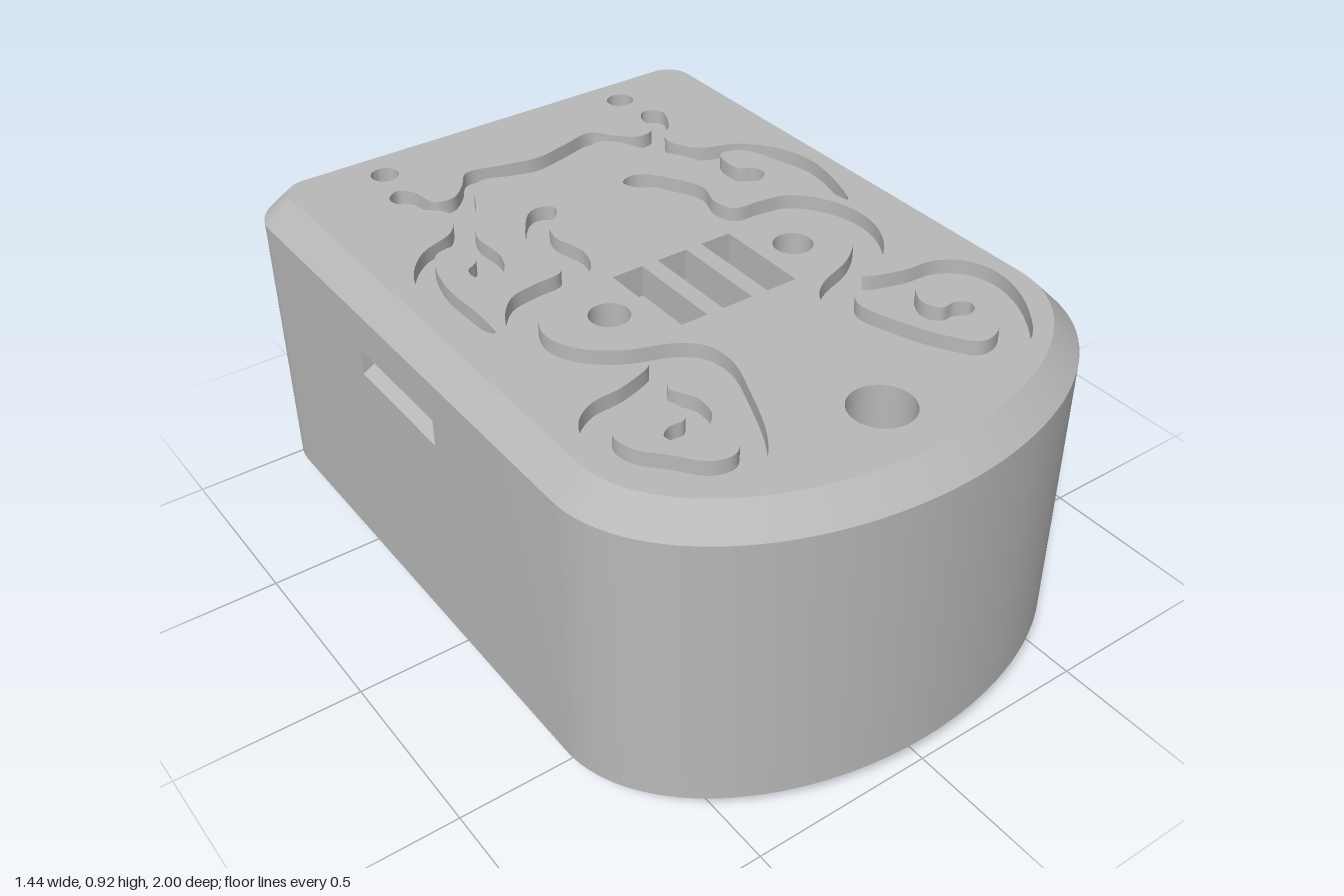
import * as THREE from 'three';
import { toCreasedNormals } from 'three/addons/utils/BufferGeometryUtils.js';

const H = 0.915, CH = 0.07, TOP = 0.845, LOW = 0.075;   // height, chamfer inset, chamfer levels
const WALL = 0.09, FLOOR = 0.15, CEIL = 0.83, GROOVE = 0.875;
const WIN = 0.34, WIN_Y = 0.54;                          // back window half width and sill
const SLOT = [-0.365, 0, 0.66, 0.735];                   // side slot z0, z1, y0, y1
const CHAN = 0.17, CHAN_END = 0.425, CHAN_Y = 0.05;      // underside channel

const shell = new THREE.MeshStandardMaterial({ color: 0xb8b8b8, side: THREE.DoubleSide });
shell.name = 'warm grey shell';

// Groove outlines for the +x half, in hundredths of a unit (x, z)
const FACE = [[11, -41], [13, -37], [17, -34], [19, -28], [17, -18], [20, -10], [27, -6], [37, -5], [43, 2],
  [45, 9], [42, 17], [34, 24], [22, 29], [17, 34], [16, 42], [20, 54], [27, 69], [33, 76], [40, 78], [47, 75],
  [54, 67], [59, 57], [60, 48], [57, 41], [51, 37], [42, 36], [32, 32], [42, 28], [49, 20], [52, 10], [50, -1],
  [43, -10], [35, -12], [27, -13], [25, -19], [27, -27], [23, -36], [17, -43], [13, -43]];
const CHEEK = [[54, 50], [51, 46], [44, 44], [40, 43], [36, 49], [38, 54], [42, 54], [45, 56], [44, 59], [38, 60],
  [32, 56], [31, 49], [34, 42], [26, 37], [23, 41], [26, 53], [31, 64], [36, 70], [42, 69], [48, 62], [53, 56]];
const BROW = [[0, -67], [10, -69], [20, -71], [25, -65], [30, -61], [35, -62], [37, -70], [40, -73], [44, -70],
  [41, -62], [35, -55], [39, -46], [50, -41], [57, -33], [60, -22], [58, -9], [54, 1], [53, -6], [53, -25],
  [48, -38], [42, -39], [41, -30], [45, -27], [45, -23], [39, -21], [35, -28], [35, -40], [27, -54], [23, -62],
  [19, -65], [10, -62], [0, -60]];

const V = (x, z) => new THREE.Vector2(x, z);
const mirror = pts => pts.map(p => V(-p.x, p.y));
const smooth = pairs => new THREE.CatmullRomCurve3(
  pairs.map(([x, z]) => new THREE.Vector3(x / 100, z / 100, 0)), true)
  .getPoints(pairs.length * 5).slice(0, -1).map(p => V(p.x, p.y));

function arc(cx, cz, rx, rz, a0, a1, n) {
  return Array.from({ length: n + 1 }, (_, i) => {
    const a = (a0 + (a1 - a0) * i / n) * Math.PI / 180;
    return V(cx + rx * Math.cos(a), cz + rz * Math.sin(a));
  });
}
const backCorner = d => arc(0.58, -0.86, 0.14 - d, 0.14 - d, -90, 0, 10);
const frontCurve = d => arc(0, 0.53, 0.72 - d, 0.47 - d, 0, 90, 28);

// Plan outline inset by d, split at x = +-x0 on the back edge
function outline(d, x0 = 0) {
  const half = [V(x0, -1 + d), ...backCorner(d), ...frontCurve(d)];
  const other = mirror(half).reverse().slice(1);
  return [...half, ...(x0 ? other : other.slice(0, -1))];
}

// Horizontal slab between two heights, with holes
function slab(pts, y0, y1, holes = []) {
  const shape = new THREE.Shape(pts);
  shape.holes = holes.map(h => new THREE.Path(h));
  const g = new THREE.ExtrudeGeometry(shape, { depth: y1 - y0, bevelEnabled: false });
  g.rotateX(Math.PI / 2).translate(0, y1, 0);
  return toCreasedNormals(g, 0.5);
}

// Sloping strip between two outlines with matching points
function loft(lower, y0, upper, y1, closed = false) {
  const n = lower.length, pos = [], index = [];
  for (let i = 0; i < n; i++) pos.push(lower[i].x, y0, lower[i].y, upper[i].x, y1, upper[i].y);
  for (let i = 0; i < (closed ? n : n - 1); i++) {
    const a = 2 * i, b = 2 * ((i + 1) % n);
    index.push(a, a + 1, b, b, a + 1, b + 1);
  }
  const g = new THREE.BufferGeometry();
  g.setAttribute('position', new THREE.Float32BufferAttribute(pos, 3));
  g.setIndex(index);
  return toCreasedNormals(g, 0.5);
}

const rect = (x0, x1, z0, z1) => [V(x0, z0), V(x1, z0), V(x1, z1), V(x0, z1)];
const disc = (x, z, r) => arc(x, z, r, r, 0, 360, 32).slice(0, -1);

export function createModel() {
  const group = new THREE.Group();
  const add = (name, geometry) => {
    const m = new THREE.Mesh(geometry, shell);
    m.name = name;
    group.add(m);
    return m;
  };

  // Openings through the lid
  const through = disc(0, 0.755, 0.082);
  const openings = [through];
  for (const x of [-0.135, 0, 0.135]) openings.push(rect(x - 0.044, x + 0.044, -0.035, 0.235));
  for (const s of [-1, 1]) openings.push(disc(s * 0.28, 0.1, 0.052), disc(s * 0.385, -0.83, 0.038));

  // Lid: engraved layer over a groove floor, with raised cheek islands
  const face = smooth(FACE), cheek = smooth(CHEEK);
  const browPairs = [...BROW, ...BROW.slice(1, -1).reverse().map(([x, z]) => [-x, z])];
  add('engravedLid', slab(outline(CH), GROOVE, H, [...openings, face, mirror(face), smooth(browPairs)]));
  add('grooveFloor', slab(outline(CH), CEIL, GROOVE, openings));
  add('leftCheekRelief', slab(cheek, GROOVE, H));
  add('rightCheekRelief', slab(mirror(cheek), GROOVE, H));
  add('topChamfer', loft(outline(0), TOP, outline(CH), H, true));

  // Walls: rounded back corners and curved front, full height
  const corner = [V(WIN, -1), ...backCorner(0), V(0.72, SLOT[0]),
    V(0.72 - WALL, SLOT[0]), ...backCorner(WALL).reverse(), V(WIN, -1 + WALL)];
  const front = [V(0.72, SLOT[1]), ...frontCurve(0), ...frontCurve(WALL).reverse(), V(0.72 - WALL, SLOT[1])];
  for (const [side, flip] of [['left', p => p], ['right', mirror]]) {
    add(side + 'BackCorner', slab(flip(corner), LOW, TOP));
    add(side + 'FrontWall', slab(flip(front), LOW, TOP));
    // Side panel around the slot, with a sloped sill and a closed back
    const [z0, z1, y0, y1] = SLOT, panel = flip(rect(0.72 - WALL, 0.72, z0, z1));
    add(side + 'LowerPanel', slab(panel, LOW, y0));
    add(side + 'UpperPanel', slab(panel, y1, TOP));
    add(side + 'SlotBack', slab(flip(rect(0.63, 0.66, z0, z1)), y0, y1));
    add(side + 'SlotSill', loft(flip([V(0.72, z1), V(0.72, z0)]), y0, flip([V(0.66, z1), V(0.66, z0)]), 0.697));
  }
  add('backPanel', slab(rect(-WIN, WIN, -1, -1 + WALL), LOW, WIN_Y));
  add('windowLintel', slab(rect(-WIN, WIN, -1, -1 + WALL), CEIL, TOP));

  // Base: inner floor, channelled underside, chamfer left open at the channel
  const inset = CH * (1 - CHAN_Y / LOW);
  add('innerFloor', slab(outline(inset), CHAN_Y, FLOOR, [through]));
  add('underside', slab([...outline(CH, CHAN), V(-CHAN, CHAN_END), V(CHAN, CHAN_END)], 0, CHAN_Y, [through]));
  add('bottomChamfer', loft(outline(CH, CHAN), 0, outline(0, CHAN), LOW));
  add('channelLip', loft([V(-CHAN, -1 + inset), V(CHAN, -1 + inset)], CHAN_Y, [V(-CHAN, -1), V(CHAN, -1)], LOW));
  for (const x of [-CHAN, CHAN]) {
    add('channelCheek', loft([V(x, -1 + CH), V(x, -0.929)], 0, [V(x, -1 + inset), V(x, -0.929)], CHAN_Y));
  }

  // Sleeve joining the lid hole to the base hole
  const sleeve = new THREE.CylinderGeometry(0.082, 0.082, CEIL - FLOOR, 32, 1, true);
  add('holeSleeve', sleeve).position.set(0, (CEIL + FLOOR) / 2, 0.755);

  return group;
}
